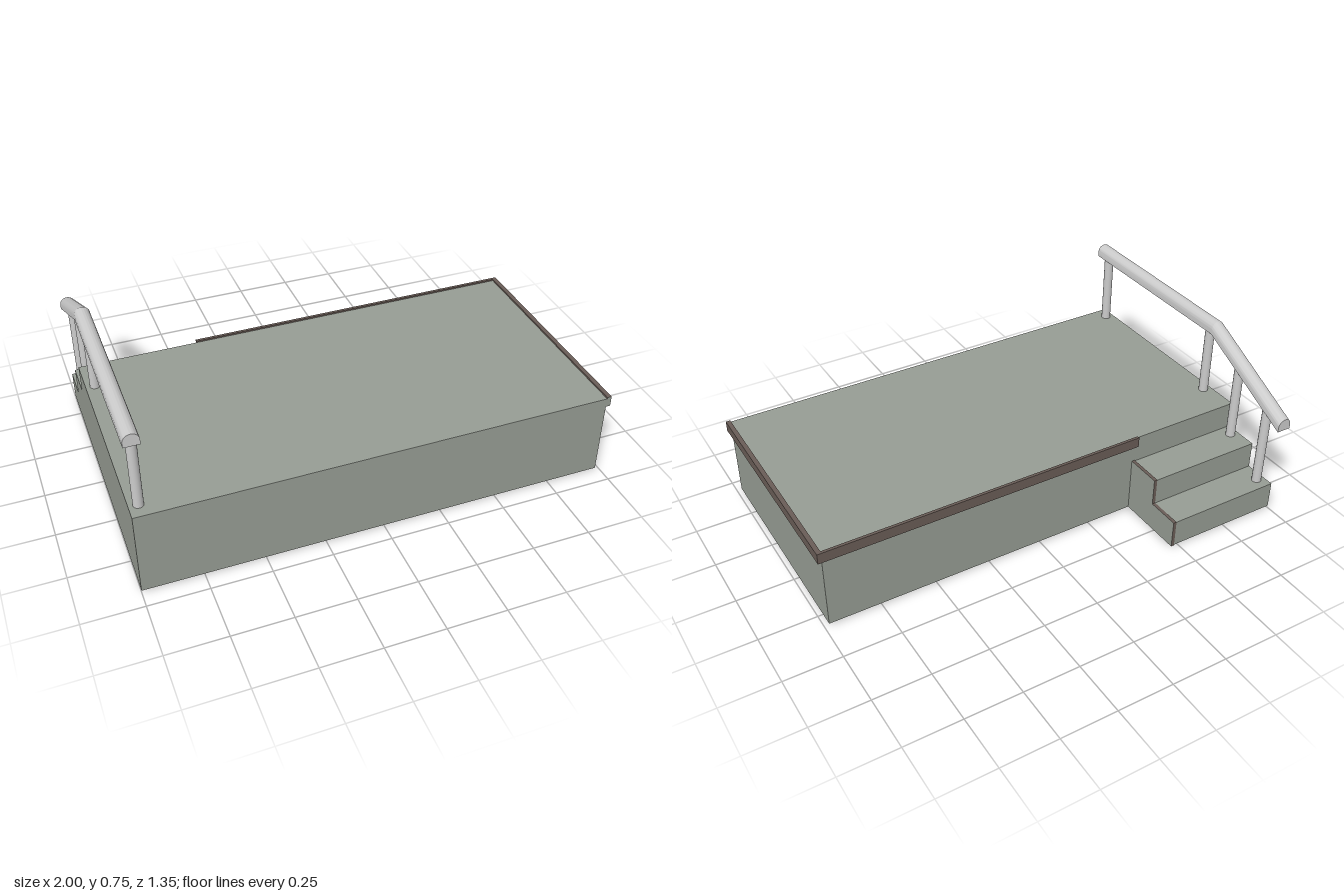
import * as THREE from 'three';
import { toCreasedNormals } from 'three/addons/utils/BufferGeometryUtils.js';

export function createModel() {
  const group = new THREE.Group();
  const stone = new THREE.MeshStandardMaterial({ color: 0x979d94 });
  const trim = new THREE.MeshStandardMaterial({ color: 0x6a5d57 });
  const metal = new THREE.MeshStandardMaterial({ color: 0xcccccc });

  const add = (name, geometry, material) => {
    const mesh = new THREE.Mesh(geometry, material);
    mesh.name = name;
    group.add(mesh);
    return mesh;
  };
  // Box given by its minimum and maximum corners
  const box = (name, [x0, y0, z0], [x1, y1, z1], material) =>
    add(name, new THREE.BoxGeometry(x1 - x0, y1 - y0, z1 - z0), material)
      .position.set((x0 + x1) / 2, (y0 + y1) / 2, (z0 + z1) / 2);

  // Platform and two steps behind it
  box('platform', [-1, 0.01, -0.32], [0.98, 0.38, 0.677], stone);
  box('upperStep', [-1, 0.01, -0.48], [-0.475, 0.258, -0.32], stone);
  box('lowerStep', [-1, 0.01, -0.63], [-0.475, 0.134, -0.48], stone);

  // Edging along the left side and the back, up to the steps;
  // its cut front end shows the platform colour
  box('sideEdging', [0.98, 0.34, -0.333], [1, 0.387, 0.677], [trim, trim, trim, trim, stone, trim]);
  box('backEdging', [-0.48, 0.34, -0.333], [0.98, 0.387, -0.32], trim);

  // Thin stepped panel closing the side of the steps, with a dark rim
  const profile = new THREE.Shape([
    [0.32, 0.01], [0.633, 0.01], [0.633, 0.138], [0.483, 0.138], [0.483, 0.262], [0.32, 0.262],
  ].map(([z, y]) => new THREE.Vector2(z, y)));
  const panel = new THREE.ExtrudeGeometry(profile, { depth: 0.015, bevelEnabled: false });
  panel.rotateY(Math.PI / 2).translate(-0.475, 0, 0);
  add('stepSidePanel', panel, [stone, trim]);

  // Height of the handrail's top along z
  const railTop = (z) => (z > -0.2
    ? 0.748 + (z + 0.2) * 0.005
    : 0.748 + (z + 0.2) * 0.49);

  // Handrail: flat-bottomed round section, sheared to follow the slope
  const section = new THREE.Shape();
  section.moveTo(-0.032, -0.053);
  section.lineTo(0.032, -0.053);
  section.lineTo(0.032, -0.032);
  section.absarc(0, -0.032, 0.032, 0, Math.PI, false);
  section.closePath();
  const handrail = new THREE.Group();
  handrail.name = 'handrail';
  group.add(handrail);
  [['levelRail', -0.2, 0.668], ['slopedRail', -0.677, -0.2]].forEach(([name, z0, z1]) => {
    const geometry = new THREE.ExtrudeGeometry(section, { depth: z1 - z0, bevelEnabled: false, curveSegments: 16 });
    geometry.translate(-0.967, 0, z0);
    const p = geometry.attributes.position;
    for (let i = 0; i < p.count; i++) p.setY(i, p.getY(i) + railTop(p.getZ(i)));
    handrail.add(add(name, toCreasedNormals(geometry, 0.6), metal));
  });

  // Posts, each reaching into the underside of the handrail
  [[0.612, 0.375], [-0.163, 0.375], [-0.375, 0.25], [-0.574, 0]].forEach(([z, bottom], i) => {
    const top = railTop(z) - 0.038;
    const post = add(`post${i + 1}`, new THREE.CylinderGeometry(0.021, 0.021, top - bottom, 20), metal);
    post.position.set(-0.961, (top + bottom) / 2, z);
  });

  return group;
}
